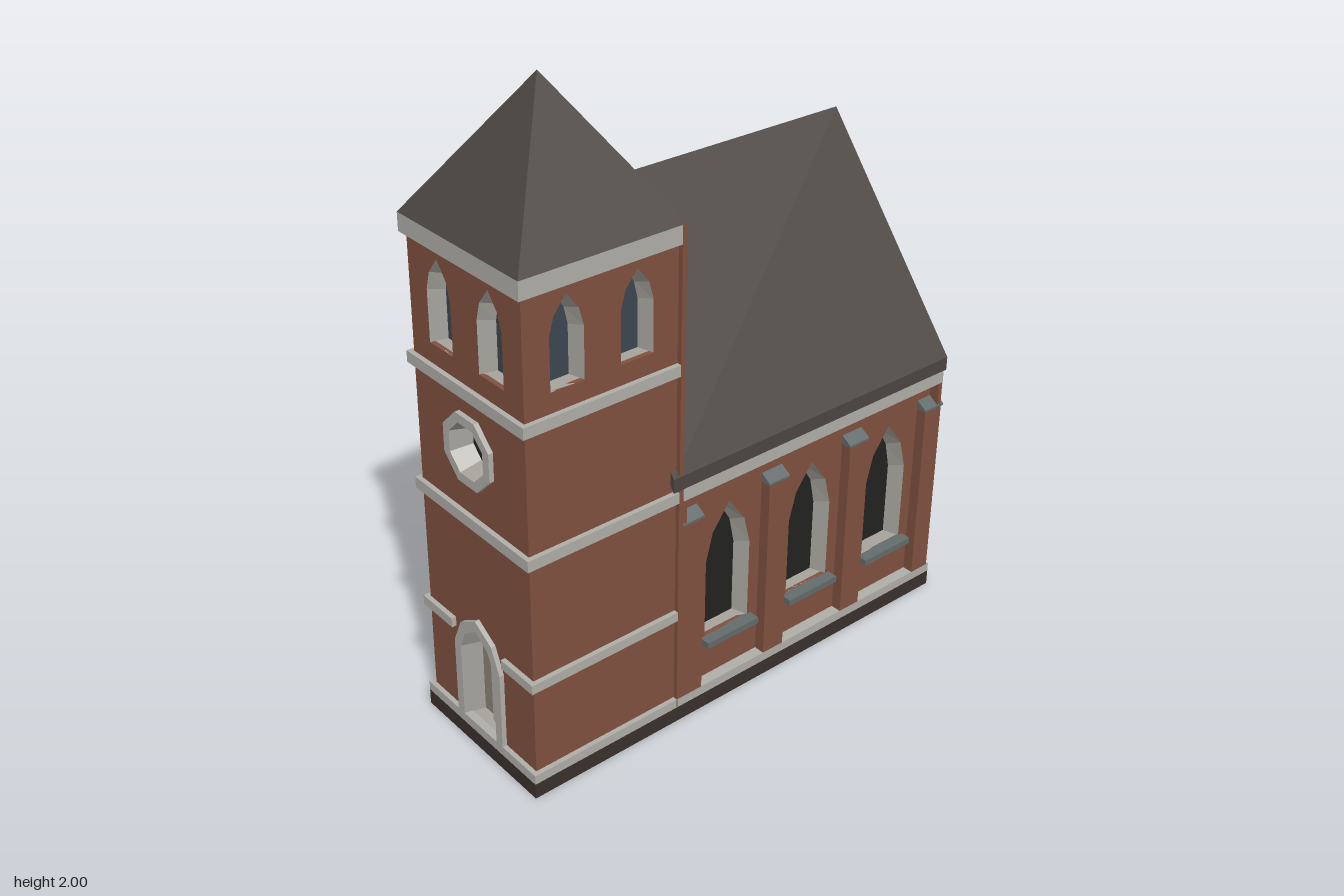
import * as THREE from 'three';

const mat = (color, side = THREE.FrontSide) =>
  new THREE.MeshStandardMaterial({ color, side, flatShading: true, roughness: 0.9 });
const BRICK = mat(0x80503f), TRIM = mat(0xb0aea8), ROOF = mat(0x4c4642), BASE = mat(0x3a302c),
  SLATE = mat(0x636b6c), DARK = mat(0x222220), BLUE = mat(0x3c4750), DOOR = mat(0x8a8476),
  JAMB = mat(0xa5a39c, THREE.DoubleSide);

function mesh(parent, name, geo, material) {
  const m = new THREE.Mesh(geo, material);
  m.name = name;
  parent.add(m);
  return m;
}

// Box given by its limits on each axis
function box(parent, name, x0, x1, y0, y1, z0, z1, material) {
  const m = mesh(parent, name, new THREE.BoxGeometry(x1 - x0, y1 - y0, z1 - z0), material);
  m.position.set((x0 + x1) / 2, (y0 + y1) / 2, (z0 + z1) / 2);
  return m;
}

const toShape = pts => new THREE.Shape(pts.map(p => new THREE.Vector2(...p)));
const rect = (x0, x1, y0, y1) => [[x0, y0], [x1, y0], [x1, y1], [x0, y1]];

// Pointed arch outline, w = half width
const arch = (u, y, w, h, spring = 0.6, sx = 0.72, sy = 0.81) => [
  [-w, 0], [w, 0], [w, spring * h], [sx * w, sy * h], [0, h], [-sx * w, sy * h], [-w, spring * h],
].map(([a, b]) => [u + a, y + b]);

// Octagon with flat top, a = distance from centre to side
const octagon = (u, y, a) => Array.from({ length: 8 }, (_, i) => {
  const t = (i + 0.5) * Math.PI / 4, r = a / Math.cos(Math.PI / 8);
  return [u + r * Math.cos(t), y + r * Math.sin(t)];
});

function slab(pts, holes, z0, z1) {
  const s = toShape(pts);
  holes.forEach(h => s.holes.push(new THREE.Path(h.map(p => new THREE.Vector2(...p)))));
  return new THREE.ExtrudeGeometry(s, { depth: z1 - z0, bevelEnabled: false }).translate(0, 0, z0);
}

// Slanted reveal joining an outer outline to a smaller one further back
function reveal(outer, inner, z0, z1) {
  const pos = [], idx = [], n = outer.length;
  outer.forEach(p => pos.push(...p, z0));
  inner.forEach(p => pos.push(...p, z1));
  for (let i = 0; i < n; i++) {
    const j = (i + 1) % n;
    idx.push(i, j, n + j, i, n + j, n + i);
  }
  const g = new THREE.BufferGeometry();
  g.setAttribute('position', new THREE.Float32BufferAttribute(pos, 3));
  g.setIndex(idx);
  const flat = g.toNonIndexed();
  flat.computeVertexNormals();
  return flat;
}

// Thin wall with openings; its outer face lies on local z = 0
function wall(parent, name, pts, openings, x, z, rotY) {
  const g = new THREE.Group();
  g.name = name;
  g.position.set(x, 0, z);
  g.rotation.y = rotY;
  parent.add(g);
  mesh(g, name + 'Brick', slab(pts, openings.map(o => o.outer), -0.015, 0), BRICK);
  for (const o of openings) {
    const front = o.surround ? 0.015 : 0, depth = -0.05;
    if (o.surround) mesh(g, o.name + 'Surround', slab(o.surround, [o.outer], -0.01, front), TRIM);
    mesh(g, o.name + 'Reveal', reveal(o.outer, o.inner, front, depth), JAMB);
    mesh(g, o.name + 'Pane', new THREE.ShapeGeometry(toShape(o.inner)).translate(0, 0, depth), o.fill);
  }
  return g;
}

const lancet = (name, u, y, w, h, rim, fill) =>
  ({ name, outer: arch(u, y, w, h), inner: arch(u, y, w - rim, h - rim * 1.5), fill });

function buildNave() {
  const nave = new THREE.Group();
  nave.name = 'nave';
  box(nave, 'naveBase', -0.53, 0.53, 0, 0.05, -0.8, 0.285, BASE);
  box(nave, 'navePlinth', -0.53, 0.53, 0.05, 0.08, -0.8, 0.282, TRIM);

  // Gable walls
  const gable = [[-0.528, 0.08], [0.528, 0.08], [0.528, 0.82], [0, 1.48], [-0.528, 0.82]];
  wall(nave, 'frontGable', gable, [lancet('frontWindow', -0.287, 0.27, 0.083, 0.45, 0.018, DARK)], 0, 0.27, 0);
  wall(nave, 'backGable', gable, [lancet('backWindow', 0, 0.41, 0.095, 0.56, 0.018, DARK)], 0, -0.79, Math.PI);
  box(nave, 'frontGableBand', -0.5, -0.04, 0.765, 0.8, 0.265, 0.285, TRIM);
  for (const s of [-1, 1])
    box(nave, 'backGableBand', s * 0.31 - 0.185, s * 0.31 + 0.185, 0.765, 0.8, -0.8, -0.785, TRIM);

  // Side walls with windows, sills, buttresses and eaves band
  const bays = [0.065, -0.265, -0.595];
  const piers = [[0.19, 0.27], [-0.14, -0.06], [-0.47, -0.39], [-0.8, -0.72]];
  for (const s of [-1, 1]) {
    const windows = bays.map(z => lancet('sideWindow', -s * z, 0.225, 0.085, 0.44, 0.018, DARK));
    const ends = [-s * 0.27, s * 0.79].sort((a, b) => a - b);
    wall(nave, 'sideWall', rect(ends[0], ends[1], 0.05, 0.82), windows, s * 0.495, 0, s * Math.PI / 2);
    const span = [s * 0.49, s * 0.53].sort((a, b) => a - b);
    for (const z of bays) box(nave, 'windowSill', ...span, 0.205, 0.225, z - 0.1, z + 0.1, SLATE);
    for (const [z0, z1] of piers) {
      box(nave, 'buttress', ...span, 0.08, 0.68, Math.max(z0, -0.79), z1, BRICK);
      const cap = [[0.49, 0.68], [0.53, 0.68], [0.53, 0.687], [0.49, 0.712]].map(([x, y]) => [s * x, y]);
      mesh(nave, 'buttressCap', slab(cap, [], z0, z1), SLATE);
    }
    box(nave, 'eavesBand', ...span, 0.765, 0.806, -0.789, 0.269, TRIM);
  }

  // Pitched roof
  const pitch = [[-0.53, 0.85], [-0.53, 0.805], [0, 1.465], [0.53, 0.805], [0.53, 0.85], [0, 1.515]];
  mesh(nave, 'naveRoof', slab(pitch, [], -0.8, 0.305), ROOF);
  return nave;
}

function buildTower() {
  const tower = new THREE.Group();
  tower.name = 'tower';
  const cx = 0.265, cz = 0.535;
  box(tower, 'towerBase', 0, 0.53, 0, 0.05, 0.27, 0.8, BASE);

  // Walls, in coordinates centred on the tower; the back one is wider
  const belfry = () => [-0.113, 0.113].map(u => lancet('belfryWindow', u, 1.26, 0.054, 0.26, 0.013, BLUE));
  const rose = {
    name: 'roundWindow', surround: octagon(0, 1.005, 0.105), outer: octagon(0, 1.005, 0.077),
    inner: octagon(0, 1.005, 0.06), fill: DARK,
  };
  const door = {
    name: 'door', surround: arch(0, 0.075, 0.11, 0.38, 0.67, 0.68, 0.88),
    outer: arch(0, 0.076, 0.08, 0.344, 0.72, 0.68, 0.89),
    inner: arch(0, 0.076, 0.066, 0.325, 0.74, 0.68, 0.9), fill: DOOR,
  };
  const face = rect(-0.25, 0.25, 0.05, 1.56);
  const front = wall(tower, 'towerFront', face, [...belfry(), rose, door], cx, 0.785, 0);
  box(front, 'doorPost', -0.006, 0.006, 0.076, 0.4, -0.05, -0.035, TRIM);
  wall(tower, 'towerLeft', face, belfry(), 0.515, cz, Math.PI / 2);
  wall(tower, 'towerRight', face, belfry(), 0.015, cz, -Math.PI / 2);
  wall(tower, 'towerBack', rect(-0.265, 0.265, 0.05, 1.605), belfry(), cx, 0.27, Math.PI);

  // Stone bands around the front and sides, with a gap at the door
  for (const [y0, y1, gap] of [[0.05, 0.08], [0.365, 0.395, true], [0.765, 0.8], [1.165, 1.2], [1.55, 1.605]]) {
    box(tower, 'sideBand', 0, 0.02, y0, y1, 0.285, 0.8, TRIM);
    box(tower, 'sideBand', 0.51, 0.53, y0, y1, 0.285, 0.8, TRIM);
    const runs = gap ? [[0.02, 0.145], [0.385, 0.51]] : [[0.02, 0.51]];
    for (const [x0, x1] of runs) box(tower, 'frontBand', x0, x1, y0, y1, 0.775, 0.8, TRIM);
  }

  // Pyramid roof
  const spire = mesh(tower, 'towerRoof',
    new THREE.ConeGeometry(0.265 * Math.SQRT2, 0.395, 4).rotateY(Math.PI / 4), ROOF);
  spire.position.set(cx, 1.605 + 0.395 / 2, cz);
  return tower;
}

export function createModel() {
  const model = new THREE.Group();
  model.name = 'church';
  model.add(buildNave(), buildTower());
  return model;
}
